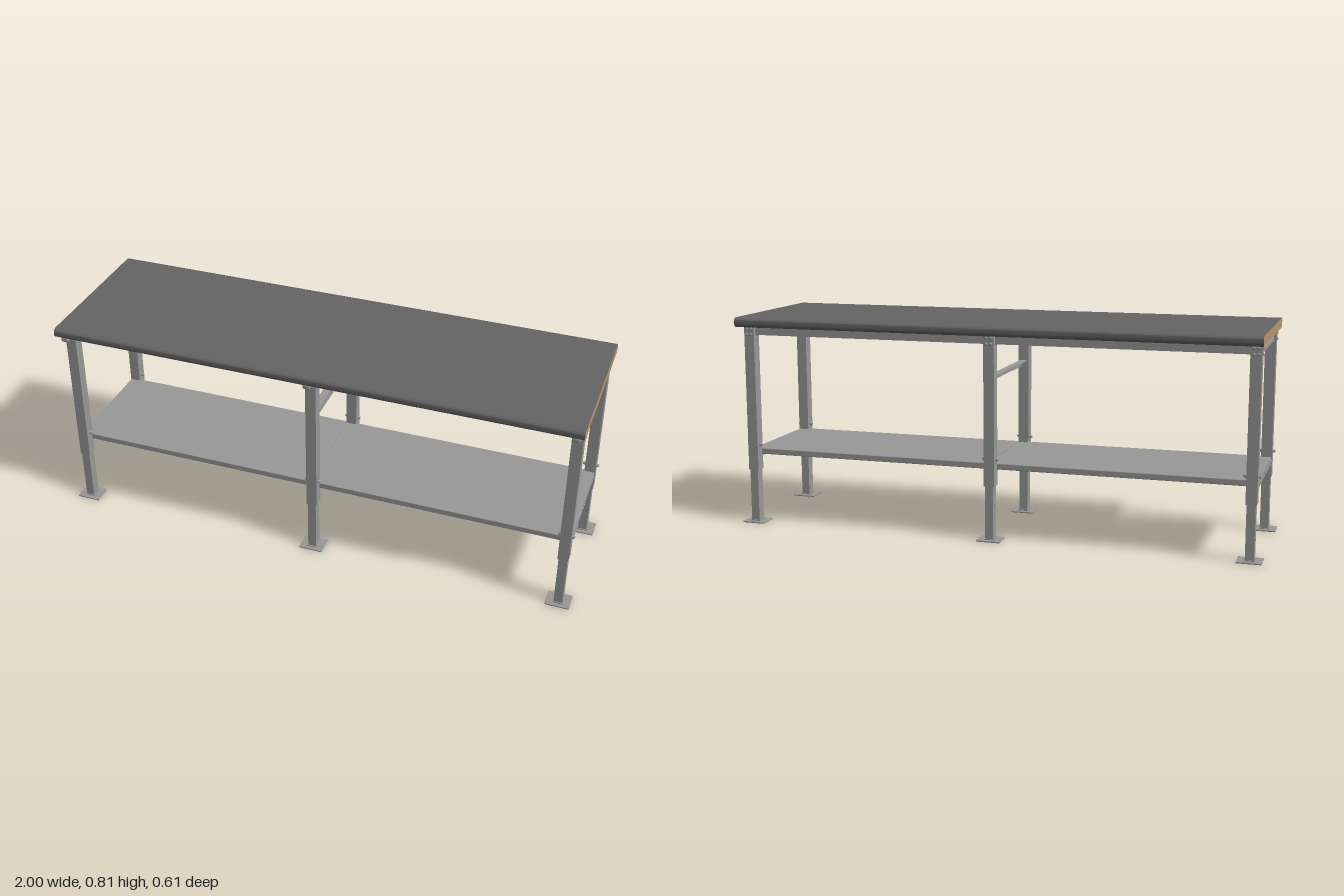
import * as THREE from 'three';
import { toCreasedNormals } from 'three/addons/utils/BufferGeometryUtils.js';
import { RoundedBoxGeometry } from 'three/addons/geometries/RoundedBoxGeometry.js';

const mat = (name, color) => new THREE.MeshStandardMaterial({ name, color });

export function createModel() {
  const steel = mat('steel grey', 0x989898);
  const dark = mat('worktop dark grey', 0x646464);
  const tan = mat('worktop core tan', 0xb4946f);
  const model = new THREE.Group();
  model.name = 'workbench';

  const add = (parent, name, geo, x = 0, y = 0, z = 0, material = steel) => {
    const mesh = new THREE.Mesh(geo, material);
    mesh.name = name;
    mesh.position.set(x, y, z);
    parent.add(mesh);
    return mesh;
  };
  // Box given by its low and high corners
  const span = (parent, name, x0, x1, y0, y1, z0, z1) =>
    add(parent, name, new THREE.BoxGeometry(x1 - x0, y1 - y0, z1 - z0),
      (x0 + x1) / 2, (y0 + y1) / 2, (z0 + z1) / 2);

  // Upright plate facing x, drilled with round holes given as [z, y]
  const drilledPlate = (parent, name, x, z, width, y0, y1, thick, holes) => {
    const s = new THREE.Shape();
    s.moveTo(-width / 2, y0);
    s.lineTo(width / 2, y0);
    s.lineTo(width / 2, y1);
    s.lineTo(-width / 2, y1);
    s.closePath();
    for (const [hz, hy] of holes) {
      s.holes.push(new THREE.Path().absarc(-hz, hy, 0.003, 0, Math.PI * 2, true));
    }
    const g = new THREE.ExtrudeGeometry(s, { depth: thick, bevelEnabled: false, curveSegments: 8 });
    g.translate(0, 0, -thick / 2).rotateY(Math.PI / 2);
    add(parent, name, g, x, 0, z);
  };

  // Square tube with holes through its two side walls
  const tube = (parent, name, w, d, y0, y1, holes) => {
    const t = 0.003;
    for (const s of [-1, 1]) {
      drilledPlate(parent, name + 'SideWall', s * (w - t) / 2, 0, d, y0, y1, t, holes.map((y) => [0, y]));
      const c = s * (d - t) / 2;
      span(parent, name + 'FaceWall', -w / 2 + t, w / 2 - t, y0, y1, c - t / 2, c + t / 2);
    }
  };

  // Domed bolt head pointing along x or z
  const domeGeo = new THREE.SphereGeometry(1, 12, 5, 0, Math.PI * 2, 0, Math.PI / 2);
  const bolt = (parent, x, y, z, axis, sign, r = 0.006, h = 0.006) => {
    const b = add(parent, 'bolt', domeGeo, x, y, z);
    b.scale.set(r, h, r);
    if (axis === 'x') b.rotation.z = -sign * Math.PI / 2;
    else b.rotation.x = sign * Math.PI / 2;
  };

  // Worktop: rounded front and back edges, bare core at both ends
  const r = 0.0185, zc = 0.307 - r;
  const profile = new THREE.Shape();
  profile.absarc(zc, 0, r, -Math.PI / 2, Math.PI / 2, false);
  profile.absarc(-zc, 0, r, Math.PI / 2, Math.PI * 1.5, false);
  profile.closePath();
  let top = new THREE.ExtrudeGeometry(profile, { depth: 1.97, bevelEnabled: false, curveSegments: 16 });
  top.translate(0, 0, -0.985).rotateY(Math.PI / 2);
  const groups = top.groups;
  top = toCreasedNormals(top, 0.6);
  if (!top.groups.length) groups.forEach((g) => top.addGroup(g.start, g.count, g.materialIndex));
  add(model, 'worktop', top, 0, 0.7865, 0, [tan, dark]);

  // Three leg frames: two ends and the middle
  for (const fx of [-0.955, 0, 0.955]) {
    const frame = new THREE.Group();
    frame.name = 'legFrame';
    frame.position.x = fx;
    model.add(frame);

    for (const side of [-1, 1]) {
      const leg = new THREE.Group();
      leg.name = side > 0 ? 'frontLeg' : 'backLeg';
      leg.position.z = side * 0.226;
      frame.add(leg);
      tube(leg, 'upperLeg', 0.04, 0.041, 0.208, 0.768, [0.364, 0.712]);
      tube(leg, 'lowerLeg', 0.032, 0.037, 0.006, 0.33, [0.078, 0.135, 0.192]);
      add(leg, 'footPlate', new RoundedBoxGeometry(0.09, 0.006, 0.075, 2, 0.002), 0, 0.003, 0);
      span(leg, 'footWeld', -0.02, 0.02, 0.005, 0.009, -0.0225, 0.0225);
      for (const s of [-1, 1]) {
        bolt(leg, s * 0.02, 0.307, 0, 'x', s, 0.007, 0.012);
        for (const y of [0.735, 0.757]) bolt(leg, s * 0.02, y, 0, 'x', s);
      }
      for (const y of side > 0 ? [0.735] : [0.735, 0.757]) {
        for (const x of [-0.009, 0.009]) bolt(leg, x, y, side * 0.0205, 'z', side);
      }
    }

    // Top support arm, rounded at its front end
    add(frame, 'topSupport', new RoundedBoxGeometry(0.03, 0.023, 0.49, 3, 0.008), 0, 0.7565, 0.045);
    span(frame, 'topCrossBar', -0.014, 0.014, 0.729, 0.742, -0.207, 0.207);

    // Bottom cross bar with shelf bolts
    span(frame, 'bottomCrossBar', -0.018, 0.018, 0.259, 0.286, -0.207, 0.207);
    for (const s of [-1, 1]) {
      for (const z of [-0.19, -0.168, -0.01, 0.01, 0.168, 0.19]) bolt(frame, s * 0.018, 0.274, z, 'x', s, 0.005, 0.004);
    }
  }

  // Drilled brace in the middle frame
  drilledPlate(model, 'middleBrace', 0.012, 0, 0.414, 0.59, 0.615, 0.004, [[-0.17, 0.602], [0, 0.602], [0.17, 0.602]]);
  span(model, 'middleBraceFlange', -0.014, 0.012, 0.611, 0.615, -0.207, 0.207);

  // Bays between the frames: shelf pans and top rails
  for (const s of [-1, 1]) {
    const bay = new THREE.Group();
    bay.name = s > 0 ? 'leftBay' : 'rightBay';
    bay.position.x = s * 0.4775;
    model.add(bay);
    const half = 0.4595;
    span(bay, 'shelfPan', -half, half, 0.284, 0.289, -0.209, 0.209);
    for (const f of [-1, 1]) {
      const edge = add(bay, 'shelfLip', new RoundedBoxGeometry(half * 2, 0.023, 0.008, 2, 0.003), 0, 0.2775, f * 0.208);
      edge.name = f > 0 ? 'frontShelfLip' : 'backShelfLip';
      span(bay, 'shelfLipReturn', -half, half, 0.266, 0.269, f * 0.198 - 0.01, f * 0.198 + 0.01);
      span(bay, 'topRailWeb', -half, half, 0.733, 0.768, f * 0.23 - 0.002, f * 0.23 + 0.002);
      span(bay, 'topRailFlange', -half, half, 0.733, 0.737, f * 0.217 - 0.013, f * 0.217 + 0.013);
    }
  }
  return model;
}
